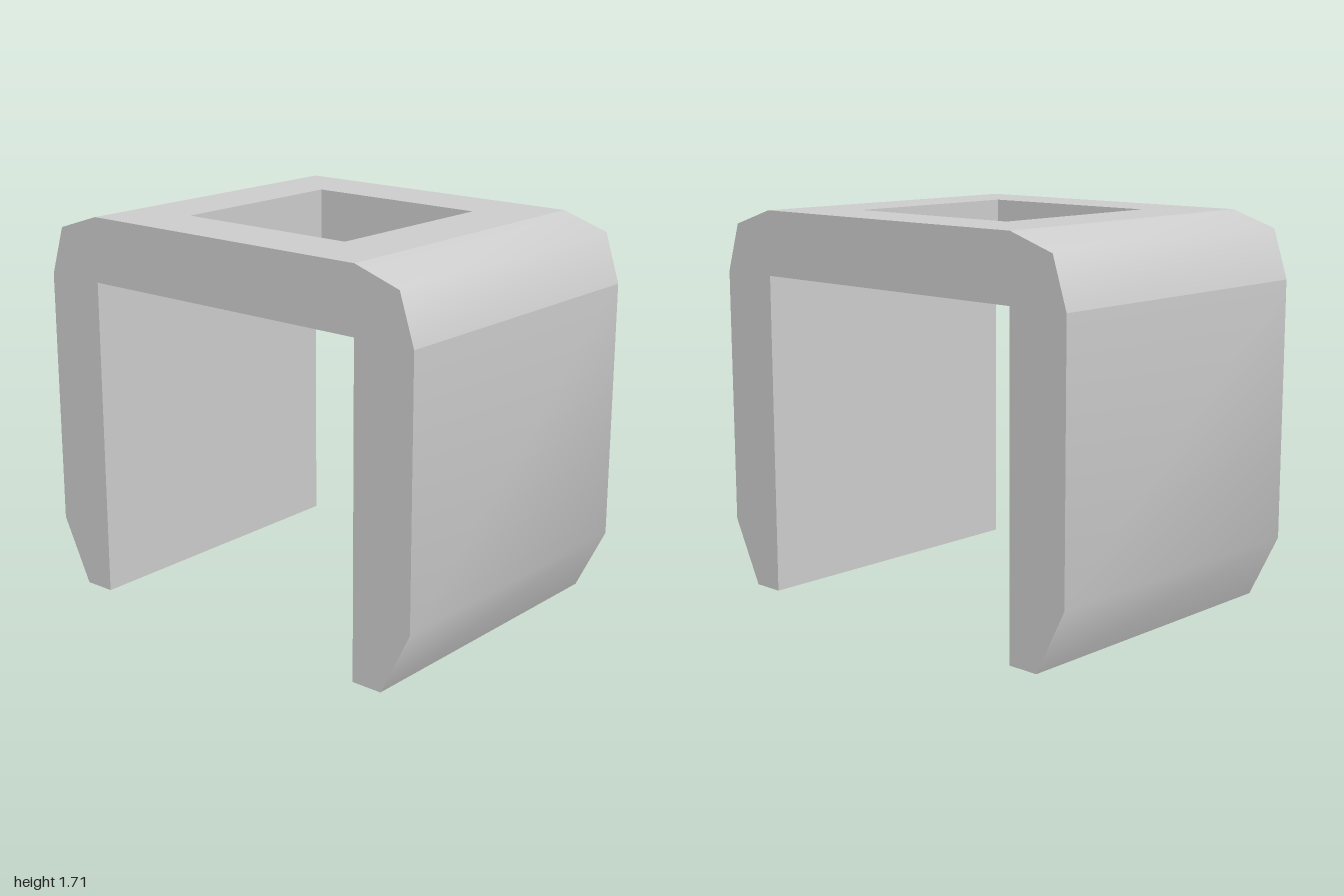
import * as THREE from 'three';
import { toCreasedNormals } from 'three/addons/utils/BufferGeometryUtils.js';

const WIDTH = 1.43, HALF = WIDTH / 2;   // part width along x
const INNER = 0.714;                    // inner face of the legs
const SOFFIT = 1.429, TOP = 1.714;      // underside and top of the plate
const HOLE = 0.43;                      // half size of the square opening

const material = new THREE.MeshStandardMaterial({ color: 0xcccccc });

const polygon = (pts) => pts.map(([a, b]) => new THREE.Vector2(a, b));

// Extrudes a (z, y) profile across the full width in x
function acrossWidth(name, pts) {
  const geo = new THREE.ExtrudeGeometry(new THREE.Shape(polygon(pts)), { depth: WIDTH, bevelEnabled: false });
  geo.translate(0, 0, -HALF);
  geo.rotateY(-Math.PI / 2);
  const mesh = new THREE.Mesh(toCreasedNormals(geo, Math.PI / 3), material);
  mesh.name = name;
  return mesh;
}

// Leg with a chamfered foot, and the faceted corner above it
function createSide(name) {
  const side = new THREE.Group();
  side.name = name;
  side.add(
    acrossWidth('leg', [[INNER, 0], [0.857, 0], [1, 0.286], [1, SOFFIT], [INNER, SOFFIT]]),
    acrossWidth('corner', [[INNER, SOFFIT], [1, SOFFIT], [0.93, 1.644], [INNER, TOP]])
  );
  return side;
}

// Flat plate with a square opening
function createTopPlate() {
  const square = (x, z) => polygon([[-x, -z], [x, -z], [x, z], [-x, z]]);
  const shape = new THREE.Shape(square(HALF, INNER));
  shape.holes.push(new THREE.Path(square(HOLE, HOLE)));
  const geo = new THREE.ExtrudeGeometry(shape, { depth: TOP - SOFFIT, bevelEnabled: false });
  geo.rotateX(-Math.PI / 2);
  geo.translate(0, SOFFIT, 0);
  const mesh = new THREE.Mesh(geo, material);
  mesh.name = 'topPlate';
  return mesh;
}

export function createModel() {
  const model = new THREE.Group();
  model.name = 'bracket';
  const front = createSide('frontSide');
  const back = createSide('backSide');
  back.rotation.y = Math.PI;
  model.add(front, back, createTopPlate());
  return model;
}
